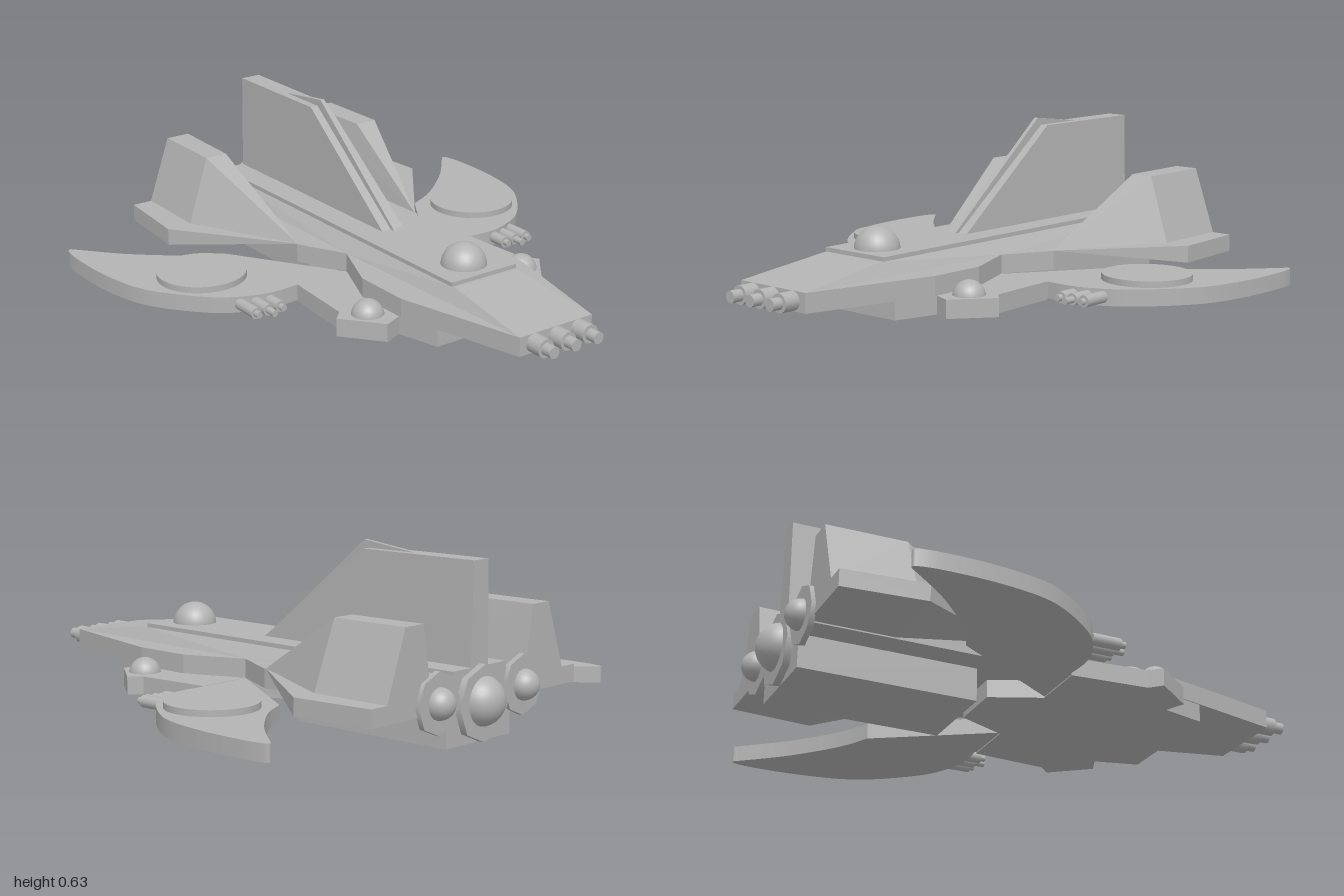
import * as THREE from 'three';
import { ConvexGeometry } from 'three/addons/geometries/ConvexGeometry.js';

export function createModel() {
  const model = new THREE.Group();
  const hullGrey = new THREE.MeshStandardMaterial({ color: 0xb3b3b3 });
  hullGrey.name = 'hull grey';

  const add = (name, geometry, x = 0, y = 0, z = 0) => {
    const mesh = new THREE.Mesh(geometry, hullGrey);
    mesh.name = name;
    mesh.position.set(x, y, z);
    model.add(mesh);
    return mesh;
  };
  // Flat plate: outline in (x, z), from height y0 to y1
  const plate = (name, shape, y0, y1) => add(name,
    new THREE.ExtrudeGeometry(shape, { depth: y1 - y0, bevelEnabled: false, curveSegments: 20 })
      .rotateX(-Math.PI / 2), 0, y0, 0);
  const outline = (pts) => new THREE.Shape(pts.map(([x, z]) => new THREE.Vector2(x, -z)));
  const symmetric = (pts) => outline([...pts, ...pts.map(([x, z]) => [-x, z]).reverse()]);
  // Faceted solid around corner points
  const solid = (name, pts) => add(name, new ConvexGeometry(pts.map((p) => new THREE.Vector3(...p))));
  const both = (pts) => pts.flatMap(([x, y, z]) => [[x, y, z], [-x, y, z]]);
  // Cylinder or cone lying along z, between z0 (radius r0) and z1 (radius r1)
  const rod = (name, r0, r1, z0, z1, x, y, sides = 16) => add(name,
    new THREE.CylinderGeometry(r1, r0, z1 - z0, sides).rotateX(Math.PI / 2), x, y, (z0 + z1) / 2);
  const dome = (r) => new THREE.SphereGeometry(r, 24, 12, 0, Math.PI * 2, 0, Math.PI / 2);

  // Hull, raised deck and the plates above and below
  plate('mainHull', symmetric([[0.155, 0.9], [0.27, 0.42], [0.27, 0.2], [0.18, -0.02],
    [0.27, -0.2], [0.27, -0.91]]), 0.12, 0.188);
  solid('raisedDeck', both([[0.155, 0.188, 0.9], [0.135, 0.235, 0.54], [0.18, 0.188, -0.02],
    [0.14, 0.235, -0.91], [0.175, 0.188, -0.91]]));
  add('deckPlate', new THREE.BoxGeometry(0.28, 0.015, 1.44), 0, 0.2425, -0.19);
  plate('lowerPlate', symmetric([[0.23, 0.57], [0.27, 0.41], [0.34, 0.44], [0.45, 0.3],
    [0.41, 0.26], [0.39, -0.02], [0.18, -0.02], [0.1, -0.2]]), 0.055, 0.12);
  add('keel', new THREE.BoxGeometry(0.34, 0.125, 0.64), 0, 0.0625, -0.59);
  add('cockpitDome', dome(0.08), 0, 0.247, 0.42);

  // Tall central fin with a thin blade along its leading edge
  solid('centralFin', both([[0.046, 0.245, 0.02], [0.038, 0.6, -0.44],
    [0.038, 0.6, -0.91], [0.046, 0.245, -0.91]]));
  solid('finBlade', both([[0.008, 0.245, 0.04], [0.008, 0.627, -0.42],
    [0.008, 0.6, -0.64], [0.008, 0.245, -0.64]]));

  // Central engine
  rod('mainEngineRing', 0.13, 0.13, -0.935, -0.905, 0, 0.13, 8);
  add('mainEngineDome', dome(0.087).rotateX(-Math.PI / 2), 0, 0.137, -0.913);

  // Nose guns
  for (const x of [-0.095, 0, 0.095]) {
    rod('noseGunBase', 0.033, 0.033, 0.89, 0.96, x, 0.155);
    rod('noseGunBarrel', 0.021, 0.021, 0.95, 1, x, 0.155);
  }

  for (const s of [-1, 1]) {
    const flip = (pts) => pts.map(([x, ...rest]) => [s * x, ...rest]);

    // Swept crescent wing with its round pad
    const wing = new THREE.Shape();
    const v = ([x, z]) => new THREE.Vector2(s * x, -z);
    wing.moveTo(s * 0.1, -0.12);
    wing.lineTo(s * 0.18, 0.02);
    wing.lineTo(s * 0.44, 0.43);
    wing.splineThru([[0.53, -0.475], [0.62, -0.54], [0.74, -0.65], [0.855, -0.785]].map(v));
    wing.splineThru([[0.87, -0.8], [0.885, -0.785], [0.895, -0.7], [0.89, -0.53], [0.86, -0.36],
      [0.8, -0.24], [0.68, -0.1], [0.56, -0.035], [0.48, -0.02], [0.39, -0.025]].map(v));
    wing.lineTo(s * 0.39, -0.12);
    plate('wing', wing, 0.06, 0.119);
    add('wingPad', new THREE.CylinderGeometry(0.16, 0.16, 0.025, 40), s * 0.615, 0.129, -0.295);

    // Wing guns
    [0.505, 0.555, 0.605].forEach((x, i) => {
      rod('wingGunBase', 0.021, 0.021, -0.06, 0.045, s * x, 0.09);
      rod('wingGunBarrel', 0.012, 0.012, 0.04, i === 1 ? 0.085 : 0.065, s * x, 0.09);
    });

    // Side turret
    add('turretDome', dome(0.057), s * 0.34, 0.115, 0.327);

    // Rear pod and the side fin on it
    solid('rearPod', flip([[0.265, 0.188, -0.2], [0.2, 0.188, -0.25], [0.2, 0.125, -0.61],
      [0.565, 0.125, -0.61], [0.565, 0.187, -0.61], [0.54, 0.125, -0.91],
      [0.54, 0.187, -0.91], [0.2, 0.125, -0.91], [0.2, 0.187, -0.91]]));
    solid('sideFin', flip([[0.265, 0.186, -0.2], [0.27, 0.186, -0.61], [0.47, 0.186, -0.61],
      [0.385, 0.423, -0.62], [0.3, 0.423, -0.62], [0.25, 0.186, -0.91],
      [0.465, 0.186, -0.91], [0.38, 0.423, -0.91], [0.29, 0.423, -0.91]]));

    // Side engine with a tapering fairing
    rod('sideEngineRing', 0.105, 0.105, -0.925, -0.905, s * 0.225, 0.16, 8);
    add('sideEngineDome', dome(0.054).rotateX(-Math.PI / 2), s * 0.225, 0.16, -0.925);
    rod('engineFairing', 0.047, 0.002, -0.91, -0.66, s * 0.225, 0.162, 16);
  }
  return model;
}
